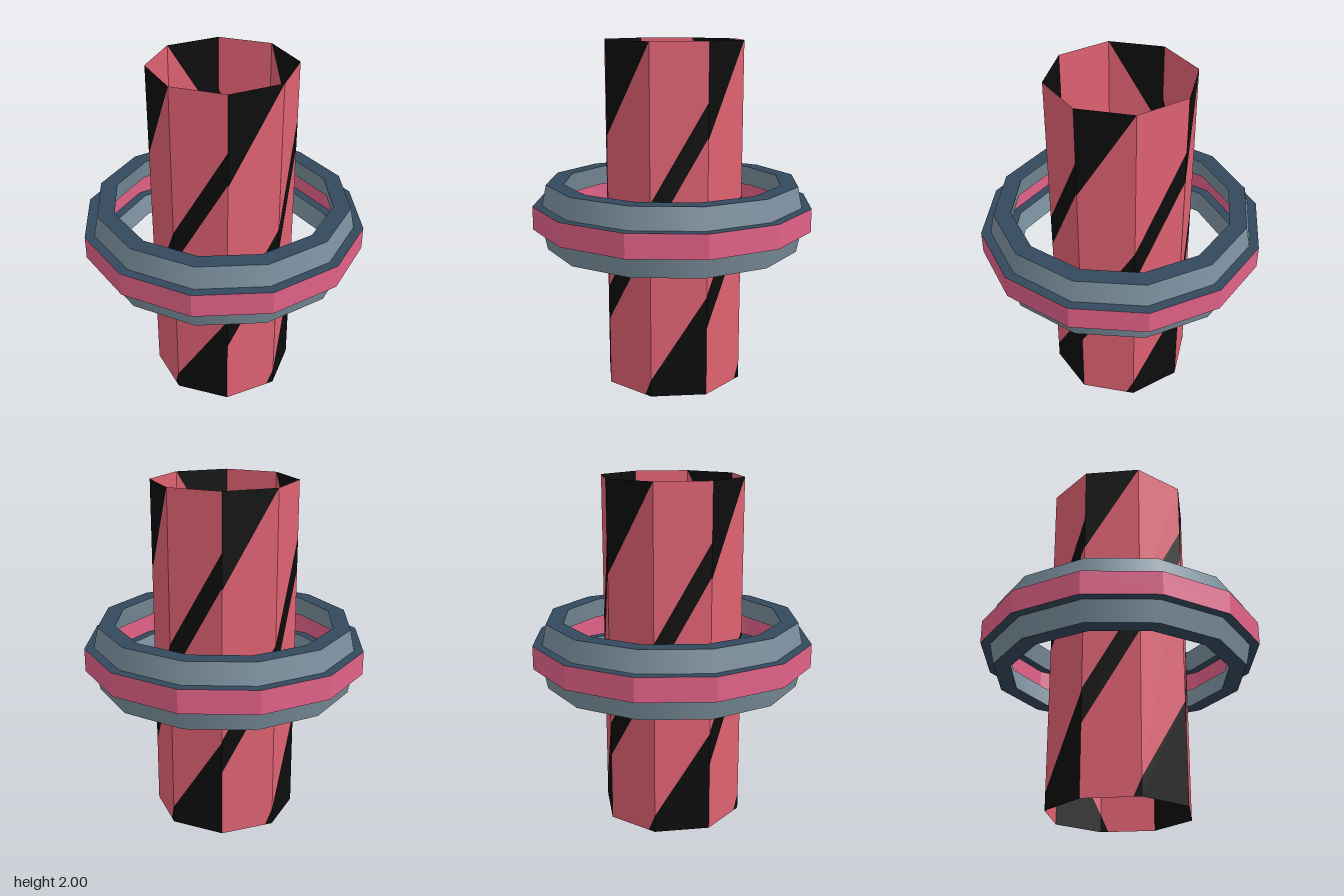
import * as THREE from 'three';

const mat = (name, color, side = THREE.FrontSide) => {
  const m = new THREE.MeshStandardMaterial({ color, side });
  m.name = name;
  return m;
};

// Octagonal tube: two face patterns alternate, as convex polygons of [fraction across face, height]
const TUBE_R = 0.415;
const PATTERNS = [
  {
    rose: [
      [[0, 0], [0.86, 0], [1, 0.1], [1, 0.93], [0, 0.4]],
      [[0, 0.6], [1, 1.13], [1, 2], [0, 1.475]],
    ],
    black: [
      [[0.86, 0], [1, 0], [1, 0.1]],
      [[0, 0.4], [1, 0.93], [1, 1.13], [0, 0.6]],
      [[0, 1.475], [1, 2], [0, 2]],
    ],
  },
  {
    rose: [
      [[0, 0.1], [1, 0.59], [1, 1.49], [0, 0.93]],
      [[0, 1.13], [1, 1.68], [1, 2], [0, 2]],
    ],
    black: [
      [[0, 0], [1, 0], [1, 0.59], [0, 0.1]],
      [[0, 0.93], [1, 1.49], [1, 1.68], [0, 1.13]],
    ],
  },
];

function tubeGeometry(colour) {
  const pos = [];
  for (let i = 0; i < 8; i++) {
    const a0 = ((i - 1) * Math.PI) / 4, a1 = (i * Math.PI) / 4;
    const point = ([f, y]) => [
      TUBE_R * THREE.MathUtils.lerp(Math.sin(a0), Math.sin(a1), f),
      y,
      TUBE_R * THREE.MathUtils.lerp(Math.cos(a0), Math.cos(a1), f),
    ];
    for (const poly of PATTERNS[i % 2][colour]) {
      for (let k = 1; k < poly.length - 1; k++) {
        pos.push(...point(poly[0]), ...point(poly[k]), ...point(poly[k + 1]));
      }
    }
  }
  const g = new THREE.BufferGeometry();
  g.setAttribute('position', new THREE.Float32BufferAttribute(pos, 3));
  g.computeVertexNormals();
  return g;
}

// One twelve-sided strip swept between two profile points
function strip(p, q, flat) {
  let g = new THREE.LatheGeometry([new THREE.Vector2(...p), new THREE.Vector2(...q)], 12);
  if (flat) {
    g = g.toNonIndexed();
    g.computeVertexNormals();
  }
  return g;
}

export function createModel() {
  const model = new THREE.Group();
  model.name = 'stripedTubeWithRing';

  const rose = mat('rose', 0xe06272, THREE.DoubleSide);
  const black = mat('black', 0x0d0d0d, THREE.DoubleSide);
  const pink = mat('pink', 0xe26288);
  const slate = mat('slate', 0x7b909e);
  const navy = mat('navy', 0x34495e);

  const add = (parent, name, geometry, material) => {
    const mesh = new THREE.Mesh(geometry, material);
    mesh.name = name;
    parent.add(mesh);
  };

  // Open tube with spiral stripes
  const tube = new THREE.Group();
  tube.name = 'tube';
  add(tube, 'tubeWall', tubeGeometry('rose'), rose);
  add(tube, 'spiralStripes', tubeGeometry('black'), black);
  model.add(tube);

  // Floating ring: closed profile, up the outside, down the inside
  const ring = new THREE.Group();
  ring.name = 'ring';
  const [y0, y1, y2, y3] = [0.813, 0.935, 1.07, 1.192];
  const profile = [
    ['lowerOuterBand', slate, [0.74, y0], [0.765, y1]],
    ['lowerOuterStep', navy, [0.765, y1], [0.82, y1]],
    ['outerMiddleBand', pink, [0.82, y1], [0.82, y2]],
    ['upperOuterStep', navy, [0.82, y2], [0.765, y2]],
    ['upperOuterBand', slate, [0.765, y2], [0.74, y3]],
    ['topRim', navy, [0.74, y3], [0.64, y3]],
    ['upperInnerBand', slate, [0.64, y3], [0.665, y2]],
    ['upperInnerStep', navy, [0.665, y2], [0.72, y2]],
    ['innerMiddleBand', pink, [0.72, y2], [0.72, y1]],
    ['lowerInnerStep', navy, [0.72, y1], [0.665, y1]],
    ['lowerInnerBand', slate, [0.665, y1], [0.64, y0]],
    ['bottomRim', navy, [0.64, y0], [0.74, y0]],
  ];
  for (const [name, material, p, q] of profile) {
    add(ring, name, strip(p, q, material !== slate), material);
  }
  model.add(ring);

  return model;
}
